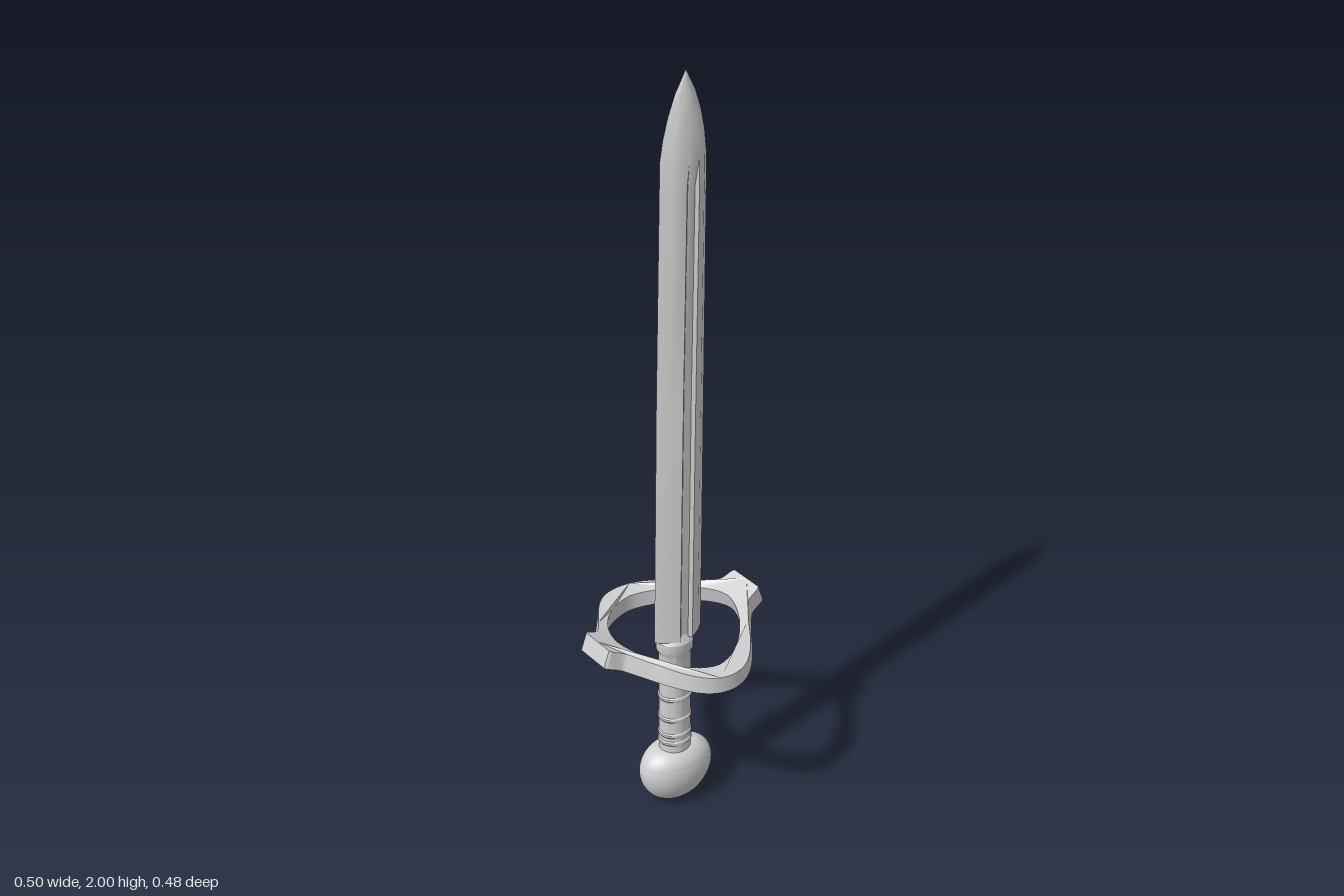
import * as THREE from 'three';
import { toCreasedNormals } from 'three/addons/utils/BufferGeometryUtils.js';

const steel = new THREE.MeshStandardMaterial({ color: 0xd0d0d0 });
steel.name = 'grey steel';

function part(name, geometry, crease) {
  const mesh = new THREE.Mesh(toCreasedNormals(geometry, crease), steel);
  mesh.name = name;
  return mesh;
}

// Skin a stack of horizontal loops (counter-clockwise seen from above), capped at both ends.
function loft(loops) {
  const n = loops[0].length;
  const pos = [];
  const tri = (...pts) => pts.forEach((p) => pos.push(...p));
  const middle = (loop) => [0, 1, 2].map((k) => loop.reduce((s, p) => s + p[k], 0) / n);
  const first = loops[0], last = loops[loops.length - 1];
  const low = middle(first), high = middle(last);
  for (let i = 0; i < n; i++) {
    const j = (i + 1) % n;
    for (let r = 0; r < loops.length - 1; r++) {
      const a = loops[r], b = loops[r + 1];
      tri(a[i], b[j], b[i]);
      tri(a[i], a[j], b[j]);
    }
    tri(low, first[j], first[i]);
    tri(high, last[i], last[j]);
  }
  const g = new THREE.BufferGeometry();
  g.setAttribute('position', new THREE.Float32BufferAttribute(pos, 3));
  return g;
}

// Slightly rounded diamond section with a shallow groove on each face.
function bladeLoop([y, cx, cz, w, t, groove]) {
  const gw = w * 0.26;
  const half = [
    [w, 0], [w * 0.66, -t * 0.57], [gw, -t], [gw * 0.6, -t + groove],
    [-gw * 0.6, -t + groove], [-gw, -t], [-w * 0.66, -t * 0.57],
  ];
  return [...half, ...half.map(([x, z]) => [-x, -z])].map(([x, z]) => [cx + x, y, cz + z]);
}

function makeBlade() {
  // y, centre x, centre z, half width, half thickness, groove depth
  const stations = [
    [0.515, 0.002, 0.014, 0.073, 0.036, 0.008],
    [1.2, 0.007, 0.016, 0.07, 0.037, 0.008],
    [1.74, 0.011, 0.02, 0.066, 0.038, 0.007],
    [1.8, 0.011, 0.02, 0.065, 0.037, 0],
    [1.85, 0.012, 0.021, 0.058, 0.031, 0],
    [1.9, 0.013, 0.022, 0.046, 0.023, 0],
    [1.95, 0.014, 0.023, 0.028, 0.013, 0],
    [2.0, 0.015, 0.024, 0.001, 0.001, 0],
  ];
  return part('blade', loft(stations.map(bladeLoop)), 0.6);
}

// Closed rounded-diamond guard, bowed upward towards the two end tabs.
function makeGuard() {
  const bow = new THREE.SplineCurve([
    [0.197, 0.062], [0.16, 0.108], [0.125, 0.158], [0.085, 0.204], [0.045, 0.231], [0, 0.24],
    [-0.045, 0.231], [-0.085, 0.204], [-0.125, 0.158], [-0.16, 0.108], [-0.197, 0.062],
  ].map(([x, z]) => new THREE.Vector2(x, z))).getPoints(40).map((v) => [v.x, v.y]);
  const tab = [[0.242, 0], [0.242, 0.048], [0.236, 0.053], [0.21, 0.057]];
  const mirrorX = tab.slice().reverse().map(([x, z]) => [-x, z]);
  const front = [...tab, ...bow, ...mirrorX];
  const back = front.slice(1, -1).reverse().map(([x, z]) => [x, -z]);
  const shape = new THREE.Shape([...front, ...back].map(([x, z]) => new THREE.Vector2(x, z)));

  const hole = [];
  for (let i = 0; i < 64; i++) {
    const a = (i / 64) * Math.PI * 2;
    const c = Math.cos(a), s = Math.sin(a);
    const r = Math.pow(Math.pow(Math.abs(c), 1.65) + Math.pow(Math.abs(s), 1.65), -1 / 1.65);
    hole.push(new THREE.Vector2(0.179 * r * c, 0.188 * r * s));
  }
  shape.holes.push(new THREE.Path(hole));

  const thickness = 0.045;
  const g = new THREE.ExtrudeGeometry(shape, { depth: thickness, bevelEnabled: false });
  g.translate(0, 0, -thickness / 2);
  g.rotateX(-Math.PI / 2);
  const p = g.attributes.position;
  for (let i = 0; i < p.count; i++) {
    const x = p.getX(i), y = p.getY(i);
    p.setXY(i, x - 1.5 * x * y, 0.497 + 1.05 * x * x + y);
  }
  return part('crossguard', g, 0.5);
}

// Grip with a collar and thin wrapped bands.
function makeGrip() {
  const profile = [[0, 0.15], [0.044, 0.15]];
  for (const y of [0.185, 0.21, 0.26, 0.325, 0.38]) {
    profile.push([0.043, y], [0.046, y + 0.004], [0.046, y + 0.01], [0.043, y + 0.014]);
  }
  profile.push([0.043, 0.465], [0.05, 0.478], [0.05, 0.505], [0.043, 0.515], [0.034, 0.535], [0, 0.535]);
  const g = new THREE.LatheGeometry(profile.map(([r, y]) => new THREE.Vector2(r, y)), 28);
  g.scale(1, 1, 0.87);
  g.translate(-0.004, 0, 0.01);
  return part('grip', g, 0.5);
}

// Flattened egg-shaped pommel.
function makePommel() {
  const curve = new THREE.SplineCurve([
    [0, 0], [0.04, 0.006], [0.076, 0.029], [0.099, 0.064], [0.106, 0.1],
    [0.098, 0.134], [0.074, 0.158], [0.04, 0.168], [0, 0.17],
  ].map(([r, y]) => new THREE.Vector2(r, y)));
  const points = curve.getPoints(28);
  points.forEach((v) => { v.x = Math.max(0, v.x); });
  const g = new THREE.LatheGeometry(points, 40);
  g.scale(1, 1, 0.66);
  g.translate(0, 0, 0.008);
  return part('pommel', g, 1);
}

export function createModel() {
  const sword = new THREE.Group();
  sword.name = 'sword';
  sword.add(makeBlade(), makeGuard(), makeGrip(), makePommel());
  return sword;
}
